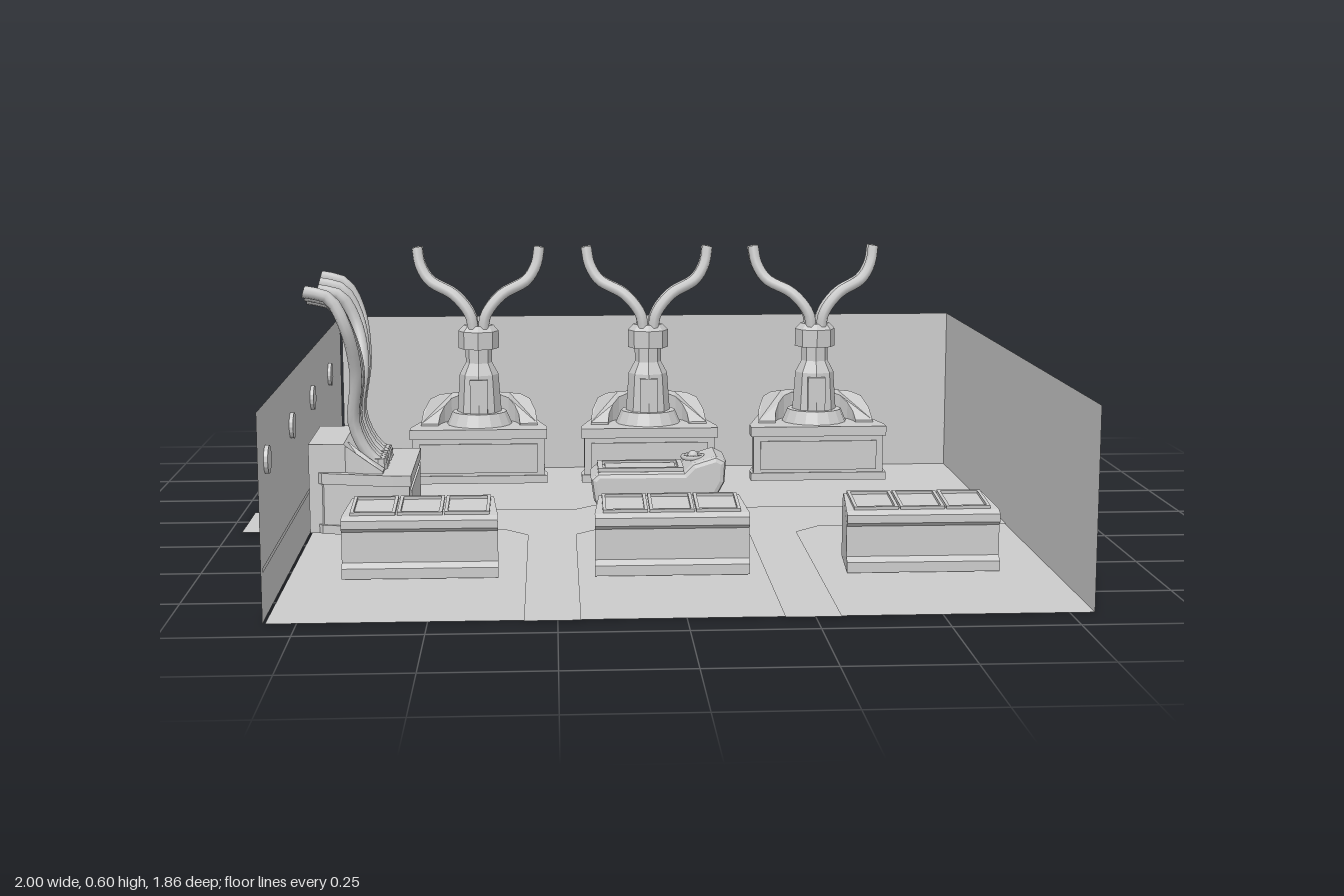
import * as THREE from 'three';

const mat = new THREE.MeshStandardMaterial({ color: 0xcccccc, side: THREE.DoubleSide });
const flat = new THREE.MeshStandardMaterial({ color: 0xcccccc, side: THREE.DoubleSide, flatShading: true });

function add(parent, name, geo, x = 0, y = 0, z = 0, m = flat) {
  const mesh = new THREE.Mesh(geo, m);
  mesh.name = name;
  mesh.position.set(x, y, z);
  parent.add(mesh);
  return mesh;
}
const box = (w, h, d) => new THREE.BoxGeometry(w, h, d);
const cyl = (r1, r2, h, n = 12) => new THREE.CylinderGeometry(r1, r2, h, n);

// Outline in (x, z) as a shape that lies flat after rotateX(-90 degrees)
const plan = (pts) => new THREE.Shape(pts.map(([x, z]) => new THREE.Vector2(x, -z)));
const mirrored = (half) => [...half, ...half.map(([x, z]) => [-x, z]).reverse()];
function slab(pts, y0, y1) {
  return new THREE.ExtrudeGeometry(plan(pts), { depth: y1 - y0, bevelEnabled: false })
    .rotateX(-Math.PI / 2).translate(0, y0, 0);
}
// Side profile (a, y) swept across a width, centred
function sweep(pts, width, bevel = 0) {
  return new THREE.ExtrudeGeometry(new THREE.Shape(pts.map((p) => new THREE.Vector2(...p))), {
    depth: width - 2 * bevel, bevelEnabled: bevel > 0, bevelSize: bevel, bevelThickness: bevel,
    bevelOffset: -bevel, bevelSegments: 2, curveSegments: 8,
  }).translate(0, 0, bevel - width / 2);
}
function tube(parent, pts, r, name = 'cable') {
  const curve = new THREE.CatmullRomCurve3(pts.map((p) => new THREE.Vector3(...p)));
  add(parent, name, new THREE.TubeGeometry(curve, 20, r, 8), 0, 0, 0, mat);
  // end cap
  const cap = add(parent, name + 'End', new THREE.CircleGeometry(r, 8), ...pts.at(-1), mat);
  cap.lookAt(curve.getPoint(1).add(curve.getTangent(1)));
}

// Floor, three walls, walkway, wall strips and ports
function room() {
  const g = new THREE.Group();
  g.name = 'room';
  add(g, 'floor', new THREE.PlaneGeometry(1.61, 1.55).rotateX(-Math.PI / 2), -0.005, 0, 0.135);
  add(g, 'backWall', new THREE.PlaneGeometry(1.61, 0.41), -0.005, 0.205, -0.638);
  for (const [name, x] of [['leftWall', 0.8], ['rightWall', -0.815]])
    add(g, name, new THREE.PlaneGeometry(1.55, 0.41).rotateY(Math.PI / 2), x, 0.205, 0.135);
  const path = [
    [-0.14, -0.93], [-0.14, -0.15], [-0.2, -0.093], [-0.97, -0.093], [-0.97, 0.125], [-0.37, 0.125],
    [-0.315, 0.185], [-0.315, 0.925], [-0.205, 0.925], [-0.205, 0.185], [-0.145, 0.125], [0.13, 0.125],
    [0.19, 0.185], [0.19, 0.925], [0.3, 0.925], [0.3, 0.185], [0.36, 0.125], [0.945, 0.125],
    [0.945, -0.093], [0.18, -0.093], [0.12, -0.15], [0.12, -0.93],
  ];
  add(g, 'walkway', new THREE.ShapeGeometry(plan(path)).rotateX(-Math.PI / 2), 0, 0.003, 0);
  add(g, 'backStrip', new THREE.PlaneGeometry(2, 0.01), 0, 0.105, -0.634);
  add(g, 'sideStrip', new THREE.PlaneGeometry(1.67, 0.01).rotateY(Math.PI / 2), -0.811, 0.105, 0.075);
  for (const z of [0.8, 0.41, 0.03, -0.345])
    add(g, 'wallPort', cyl(0.028, 0.028, 0.008, 16).rotateZ(Math.PI / 2), -0.811, 0.3, z);
  return g;
}

// Console body with a raised curved rail, facing +z
function consoleBase(g) {
  const outline = (k) => mirrored([[0.175 * k, 0.115 * k], [0.175 * k, 0.075 * k], [0.15 * k, -0.03 * k],
    [0.135 * k, -0.09 * k], [0.105 * k, -0.115 * k]]);
  add(g, 'consoleFoot', slab(outline(1), 0.005, 0.025));
  add(g, 'consoleBody', slab(outline(0.96), 0.025, 0.12));
  add(g, 'consoleTop', slab(outline(1), 0.12, 0.145));
  add(g, 'frontPanel', box(0.3, 0.075, 0.008), 0, 0.07, 0.111);
  const arc = [];
  for (let i = 0; i <= 12; i++) {
    const a = Math.PI * i / 12;
    arc.push([0.15 * Math.cos(a), 0.05 - 0.16 * Math.sin(a)]);
  }
  for (let i = 12; i >= 0; i--) {
    const a = Math.PI * i / 12;
    arc.push([0.105 * Math.cos(a), 0.05 - 0.115 * Math.sin(a)]);
  }
  // rail top slopes down towards the front
  const rail = slab(arc, 0.14, 0.21);
  const p = rail.attributes.position;
  for (let i = 0; i < p.count; i++)
    if (p.getY(i) > 0.2) p.setY(i, 0.15 + 0.06 * Math.min(1, Math.max(0, (0.05 - p.getZ(i)) / 0.09)));
  rail.computeVertexNormals();
  add(g, 'curvedRail', rail);
}

// Station with a pedestal and two pairs of cables spreading upwards
function station() {
  const g = new THREE.Group();
  g.name = 'cableStation';
  consoleBase(g);
  add(g, 'pedestalFoot', cyl(0.07, 0.085, 0.035, 16), 0, 0.16, 0.01);
  add(g, 'pedestal', cyl(0.05, 0.058, 0.11, 8), 0, 0.22, 0.01);
  add(g, 'pedestalPanel', box(0.045, 0.1, 0.02), 0, 0.215, 0.055);
  add(g, 'shoulder', cyl(0.034, 0.05, 0.03, 8), 0, 0.29, 0.01);
  add(g, 'neck', cyl(0.034, 0.034, 0.05, 8), 0, 0.32, 0.01);
  add(g, 'collar', cyl(0.052, 0.052, 0.045, 8), 0, 0.365, 0.01);
  add(g, 'collarCap', cyl(0.038, 0.052, 0.015, 8), 0, 0.395, 0.01);
  for (const s of [-1, 1]) {
    for (const k of [0, 1])
      tube(g, [[s * 0.012, 0.38, 0.035 - k * 0.035], [s * 0.02, 0.43, 0.035 - k * 0.035],
        [s * 0.06, 0.48, 0.02 - k * 0.03], [s * 0.125, 0.515, -0.015 - k * 0.025],
        [s * 0.15, 0.555, -0.03 - k * 0.025], [s * 0.158, 0.598, -0.04 - k * 0.025]], 0.014);
    add(g, 'rearBlock', box(0.05, 0.05, 0.05), s * 0.09, 0.165, -0.075);
  }
  return g;
}

// Wall console with a fan of six cables
function wallConsole() {
  const g = new THREE.Group();
  g.name = 'wallConsole';
  consoleBase(g);
  add(g, 'rearHousing', sweep([[-0.12, 0.005], [-0.01, 0.005], [-0.01, 0.18], [-0.04, 0.21], [-0.12, 0.21]], 0.25)
    .rotateY(-Math.PI / 2));
  for (const s of [-1, 1])
    for (let k = 0; k < 3; k++) {
      const a = s * (0.022 + 0.03 * k), b = s * (0.092 + 0.042 * k), h = 0.012 * k;
      add(g, 'cableSocket', cyl(0.018, 0.022, 0.03, 8), a, 0.155, 0.035);
      tube(g, [[a, 0.15, 0.045], [a, 0.18, 0.012], [a * 1.1, 0.25, -0.018],
        [(a + b) / 2, 0.37, -0.008], [b, 0.46 + h, -0.025], [b, 0.525 + h, -0.06],
        [b, 0.54 + h, -0.115]], 0.014);
    }
  return g;
}

// Low desk with three panels on a sloping top
function desk() {
  const g = new THREE.Group();
  g.name = 'desk';
  const prof = [[-0.08, 0.003], [0.08, 0.003], [0.08, 0.025], [0.066, 0.035], [0.066, 0.1], [0.075, 0.108],
    [0.075, 0.125], [0.06, 0.132], [-0.065, 0.145], [-0.08, 0.125]];
  const body = sweep(prof, 0.325).rotateY(-Math.PI / 2);
  // ends taper towards the back
  const p = body.attributes.position;
  for (let i = 0; i < p.count; i++) if (p.getZ(i) < -0.06) p.setX(i, p.getX(i) * 0.93);
  body.computeVertexNormals();
  add(g, 'deskBody', body);
  for (const x of [-0.098, 0, 0.098]) {
    const f = add(g, 'panelFrame', new THREE.ExtrudeGeometry(frame(0.094, 0.115), { depth: 0.008, bevelEnabled: false })
      .rotateX(-Math.PI / 2), x, 0.137, -0.003);
    f.rotation.x = 0.1;
  }
  return g;
}
function frame(w, d, t = 0.007) {
  const rect = (a, b, C) => new C([[-a, -b], [a, -b], [a, b], [-a, b]].map((q) => new THREE.Vector2(...q)));
  const s = rect(w / 2, d / 2, THREE.Shape);
  s.holes.push(rect(w / 2 - t, d / 2 - t, THREE.Path));
  return s;
}

// Central couch: scooped body with a raised head end
function couch() {
  const g = new THREE.Group();
  g.name = 'couch';
  add(g, 'couchFoot', box(0.2, 0.035, 0.09), -0.01, 0.02, 0);
  const prof = [[-0.13, 0.03], [0.09, 0.03], [0.13, 0.055], [0.155, 0.1], [0.158, 0.15], [0.135, 0.162],
    [0.08, 0.145], [0.06, 0.125], [-0.14, 0.125], [-0.157, 0.11], [-0.15, 0.06]];
  add(g, 'couchBody', sweep(prof, 0.14, 0.012));
  add(g, 'bedRim', new THREE.ExtrudeGeometry(frame(0.2, 0.105, 0.012), { depth: 0.012, bevelEnabled: false })
    .rotateX(-Math.PI / 2), -0.04, 0.122, 0);
  add(g, 'mattress', box(0.165, 0.006, 0.072), -0.04, 0.127, 0);
  add(g, 'headRing', new THREE.TorusGeometry(0.024, 0.006, 6, 16).rotateX(Math.PI / 2), 0.085, 0.15, 0.0, mat);
  add(g, 'headKnob', new THREE.SphereGeometry(0.013, 10, 8), 0.085, 0.152, 0, mat);
  return g;
}

export function createModel() {
  const model = new THREE.Group();
  model.name = 'controlRoom';
  const place = (part, x, z, turn = 0) => {
    part.position.set(x, 0, z);
    part.rotation.y = turn;
    model.add(part);
  };
  model.add(room());
  for (const x of [-0.446, -0.008, 0.428]) place(station(), x, -0.518);
  for (const x of [-0.535, -0.008, 0.522]) place(desk(), x, 0.5);
  place(wallConsole(), -0.692, 0.02, Math.PI / 2);
  place(couch(), -0.012, 0.02);
  return model;
}
